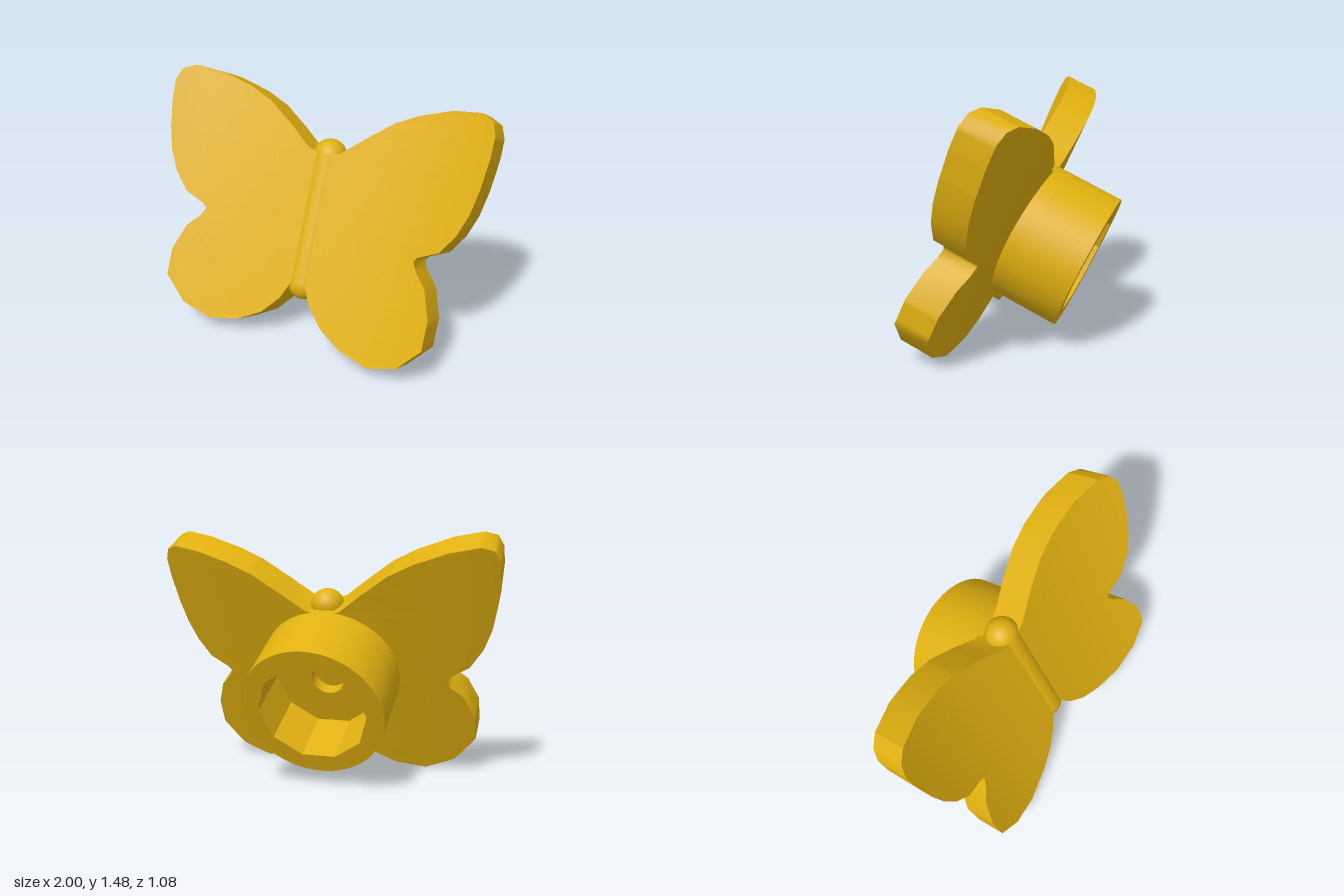
import * as THREE from 'three';
import { toCreasedNormals } from 'three/addons/utils/BufferGeometryUtils.js';

// Half outline of the wings as [x, height], listed from top to bottom
const INNER = [[0.9, 1.348], [0.73, 1.338], [0.54, 1.285], [0.4, 1.221], [0.24, 1.105], [0.1, 0.994], [0, 0.97],
  [0, 0.22], [0.05, 0.19], [0.1, 0.091], [0.2, -0.02], [0.34, -0.101], [0.53, -0.144]];
const OUTER = [[0.9, 1.348], [0.97, 1.314], [1, 1.242], [1, 1.131], [0.98, 0.959], [0.95, 0.82], [0.9, 0.697],
  [0.82, 0.587], [0.7, 0.531], [0.68, 0.505], [0.71, 0.453], [0.78, 0.378], [0.84, 0.22], [0.84, 0.055],
  [0.71, -0.088], [0.53, -0.144]];
const ROWS = [...new Set([...INNER, ...OUTER].map((p) => p[1]))].sort((a, b) => b - a);
const THICKNESS = 0.205;

// x of an outline at a given height
function edgeAt(line, v) {
  for (let i = 1; i < line.length; i++) {
    const [x0, v0] = line[i - 1], [x1, v1] = line[i];
    if (v >= v1) return x0 + (x1 - x0) * (v0 - v) / (v0 - v1);
  }
  return line[line.length - 1][0];
}

// A box reshaped to the outline, with its tips curving forward
function wingGeometry(sign) {
  const n = ROWS.length - 1;
  const geo = new THREE.BoxGeometry(1, 1, 1, 16, n, 1);
  const p = geo.attributes.position;
  for (let i = 0; i < p.count; i++) {
    const u = 0.5 + sign * p.getX(i);
    const v = ROWS[Math.round((0.5 - p.getY(i)) * n)];
    const a = edgeAt(INNER, v), b = edgeAt(OUTER, v);
    const x = a + (b - a) * u;
    const front = 0.49 + 0.16 * Math.pow(x, 2.6);
    p.setXYZ(i, sign * x, v, p.getZ(i) > 0 ? front : front - THICKNESS);
  }
  geo.computeVertexNormals();
  return geo;
}

// Round plate with a hole of the given radius and side count
function ringGeometry(radius, holeRadius, holeSides, depth) {
  const shape = new THREE.Shape().absarc(0, 0, radius, 0, Math.PI * 2);
  const pts = [];
  for (let i = 0; i < holeSides; i++) {
    const a = -i / holeSides * Math.PI * 2;
    pts.push(new THREE.Vector2(holeRadius * Math.cos(a), holeRadius * Math.sin(a)));
  }
  shape.holes.push(new THREE.Path(pts));
  const geo = new THREE.ExtrudeGeometry(shape, { depth, bevelEnabled: false, curveSegments: 32 });
  return toCreasedNormals(geo, 0.5);
}

export function createModel() {
  const material = new THREE.MeshStandardMaterial({ color: 0xe0b010 });
  const model = new THREE.Group();
  model.name = 'butterflyKnob';
  const add = (name, geo, x = 0, y = 0, z = 0) => {
    const mesh = new THREE.Mesh(geo, material);
    mesh.name = name;
    mesh.position.set(x, y, z);
    model.add(mesh);
  };

  // Wings
  add('leftWings', wingGeometry(1));
  add('rightWings', wingGeometry(-1));

  // Rounded body between the wings
  add('body', new THREE.CapsuleGeometry(0.1, 0.767, 10, 24), 0, 0.589, 0.402);

  // Hollow stem at the back, with a small screw hole in its floor
  add('stem', ringGeometry(0.42, 0.32, 10, 0.34), 0, 0.573, -0.13);
  add('stemFloor', ringGeometry(0.42, 0.1, 16, 0.1), 0, 0.573, 0.21);

  // Whole piece leans back
  model.rotation.x = -THREE.MathUtils.degToRad(25);
  const root = new THREE.Group();
  root.add(model);
  return root;
}
